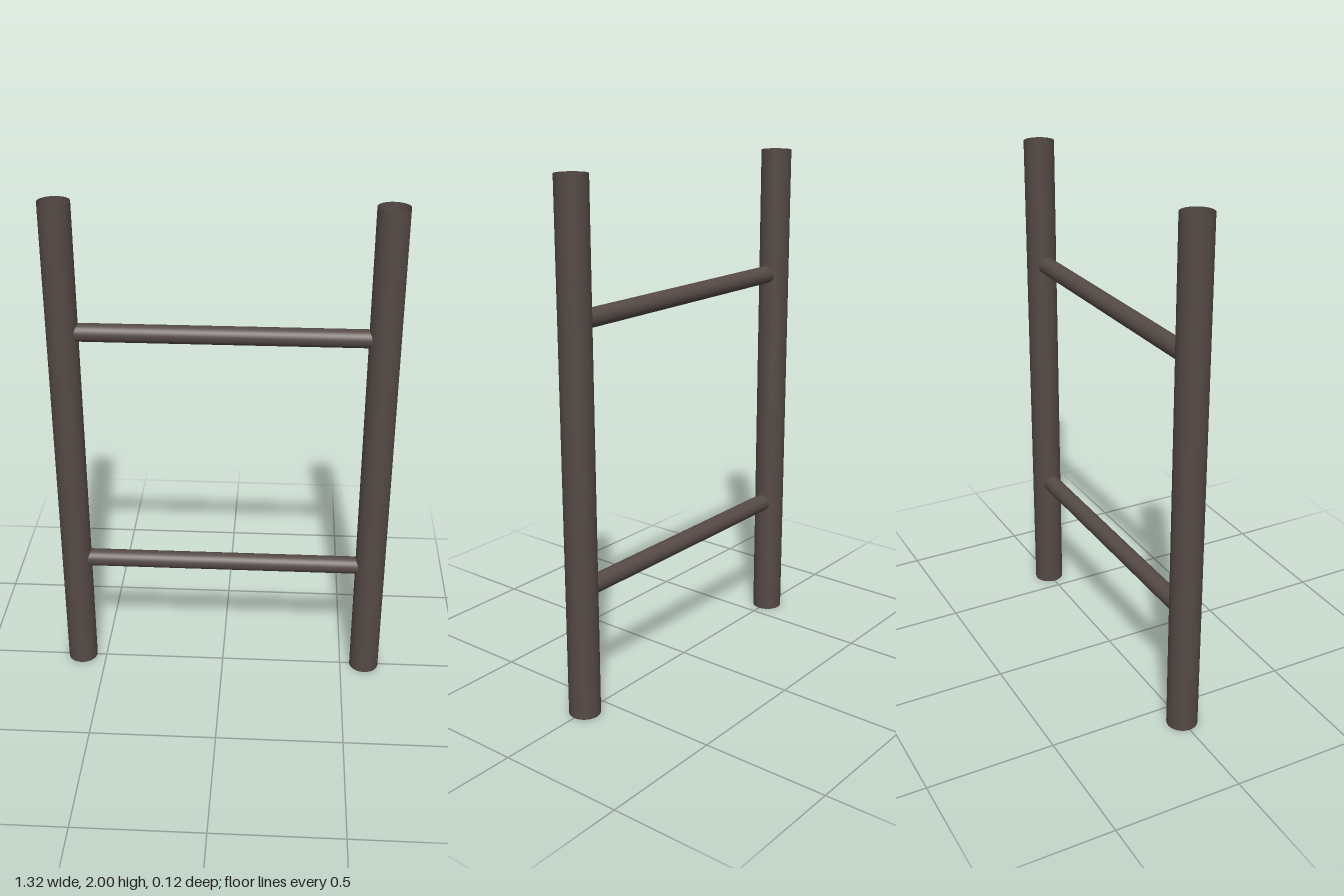
import * as THREE from 'three';

export function createModel() {
  const group = new THREE.Group();
  group.name = 'ladderSection';
  const material = new THREE.MeshStandardMaterial({ color: 0x554a46, side: THREE.DoubleSide });

  // Open-ended pipe, upright and centred on its own origin
  const pipe = (name, radius, length) => {
    const mesh = new THREE.Mesh(new THREE.CylinderGeometry(radius, radius, length, 32, 1, true), material);
    mesh.name = name;
    group.add(mesh);
    return mesh;
  };

  // Upright rails
  for (const [name, side] of [['leftRail', 1], ['rightRail', -1]]) {
    pipe(name, 0.06, 2).position.set(side * 0.6, 1, 0);
  }

  // Rungs, running between the rail centre lines
  for (const [name, y] of [['lowerRung', 0.5], ['upperRung', 1.5]]) {
    const rung = pipe(name, 0.035, 1.2);
    rung.rotation.z = Math.PI / 2;
    rung.position.y = y;
  }

  return group;
}
